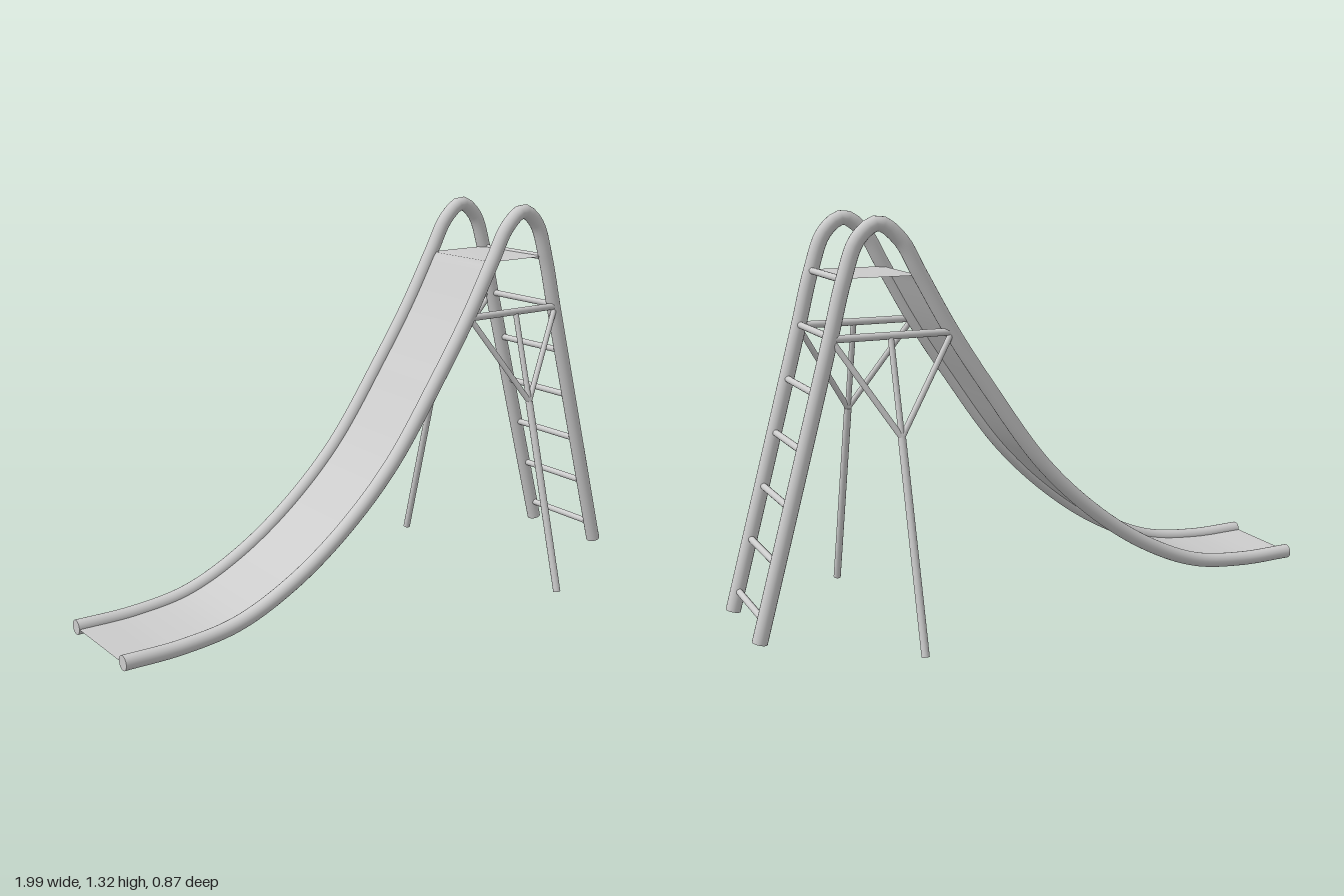
import * as THREE from 'three';

const RAIL_Z = 0.163, RAIL_R = 0.0245, DECK_Y = 1.132;

export function createModel() {
  const model = new THREE.Group();
  const metal = new THREE.MeshStandardMaterial({ color: 0xcccccc });
  const sheetMetal = new THREE.MeshStandardMaterial({ color: 0xcccccc, side: THREE.DoubleSide });

  function add(name, geometry, material = metal) {
    const mesh = new THREE.Mesh(geometry, material);
    mesh.name = name;
    model.add(mesh);
    return mesh;
  }

  // Straight round bar between two points
  function bar(name, from, to, radius) {
    const a = new THREE.Vector3(...from), b = new THREE.Vector3(...to);
    const dir = b.clone().sub(a);
    const mesh = add(name, new THREE.CylinderGeometry(radius, radius, dir.length(), 16));
    mesh.position.copy(a).add(b).multiplyScalar(0.5);
    mesh.quaternion.setFromUnitVectors(new THREE.Vector3(0, 1, 0), dir.normalize());
  }

  // Rail path: run-out, chute, arch over the top, ladder leg
  const railPath = new THREE.CatmullRomCurve3([
    [-1, 0.055], [-0.8, 0.054], [-0.6, 0.08], [-0.4, 0.165], [-0.2, 0.3], [0, 0.49],
    [0.2, 0.765], [0.325, 0.955], [0.43, 1.14], [0.49, 1.245], [0.56, 1.295],
    [0.625, 1.25], [0.672, 1.13], [0.72, 0.95], [0.845, 0.489], [0.97, 0.03],
  ].map(([x, y]) => new THREE.Vector3(x, y, 0)), false, 'centripetal');

  const railGeometry = new THREE.TubeGeometry(railPath, 140, RAIL_R, 20);
  const endPoints = [0, 1].map((t) => [railPath.getPointAt(t), railPath.getTangentAt(t).multiplyScalar(t ? 1 : -1)]);
  for (const s of [-1, 1]) {
    add('rail', railGeometry).position.z = s * RAIL_Z;
    // Flat caps on the tube ends
    for (const [point, outward] of endPoints) {
      const cap = add('railCap', new THREE.CircleGeometry(RAIL_R, 20));
      cap.position.set(point.x, point.y, s * RAIL_Z);
      cap.quaternion.setFromUnitVectors(new THREE.Vector3(0, 0, 1), outward);
    }
  }

  // Sliding surface follows the rails, then turns into the level top deck
  const profile = railPath.getSpacedPoints(160).filter((p) => p.x < 0.5 && p.y < DECK_Y);
  profile.push(new THREE.Vector3(0.428, DECK_Y, 0), new THREE.Vector3(0.672, DECK_Y, 0));
  const n = profile.length;
  const sheet = new THREE.PlaneGeometry(1, 2 * RAIL_Z, n - 1, 1);
  sheet.rotateX(-Math.PI / 2);
  const pos = sheet.attributes.position;
  for (let i = 0; i < pos.count; i++) {
    const p = profile[i % n];
    pos.setXYZ(i, p.x, p.y, pos.getZ(i));
  }
  sheet.computeVertexNormals();
  add('slideSurface', sheet, sheetMetal);

  // Ladder rungs, evenly spaced along the leg
  for (let i = 0; i < 7; i++) {
    const y = 0.097 + i * 0.172;
    const x = i === 6 ? 0.674 : 0.97 - (y - 0.03) * 0.2717;
    bar('rung', [x, y, -RAIL_Z], [x, y, RAIL_Z], 0.011);
  }

  // Splayed support leg with its brace on each side
  for (const s of [-1, 1]) {
    const top = s * 0.173, fork = [0.53, 0.65, s * 0.255];
    bar('braceBar', [0.318, 0.953, top], [0.722, 0.953, top], 0.012);
    bar('supportStrut', [0.53, 0.953, top], fork, 0.0095);
    bar('supportLeg', fork, [0.53, 0.003, s * 0.424], 0.0125);
    bar('braceDiagonal', [0.33, 0.945, top], fork, 0.0095);
    bar('braceDiagonal', [0.715, 0.945, top], fork, 0.0095);
  }

  return model;
}
